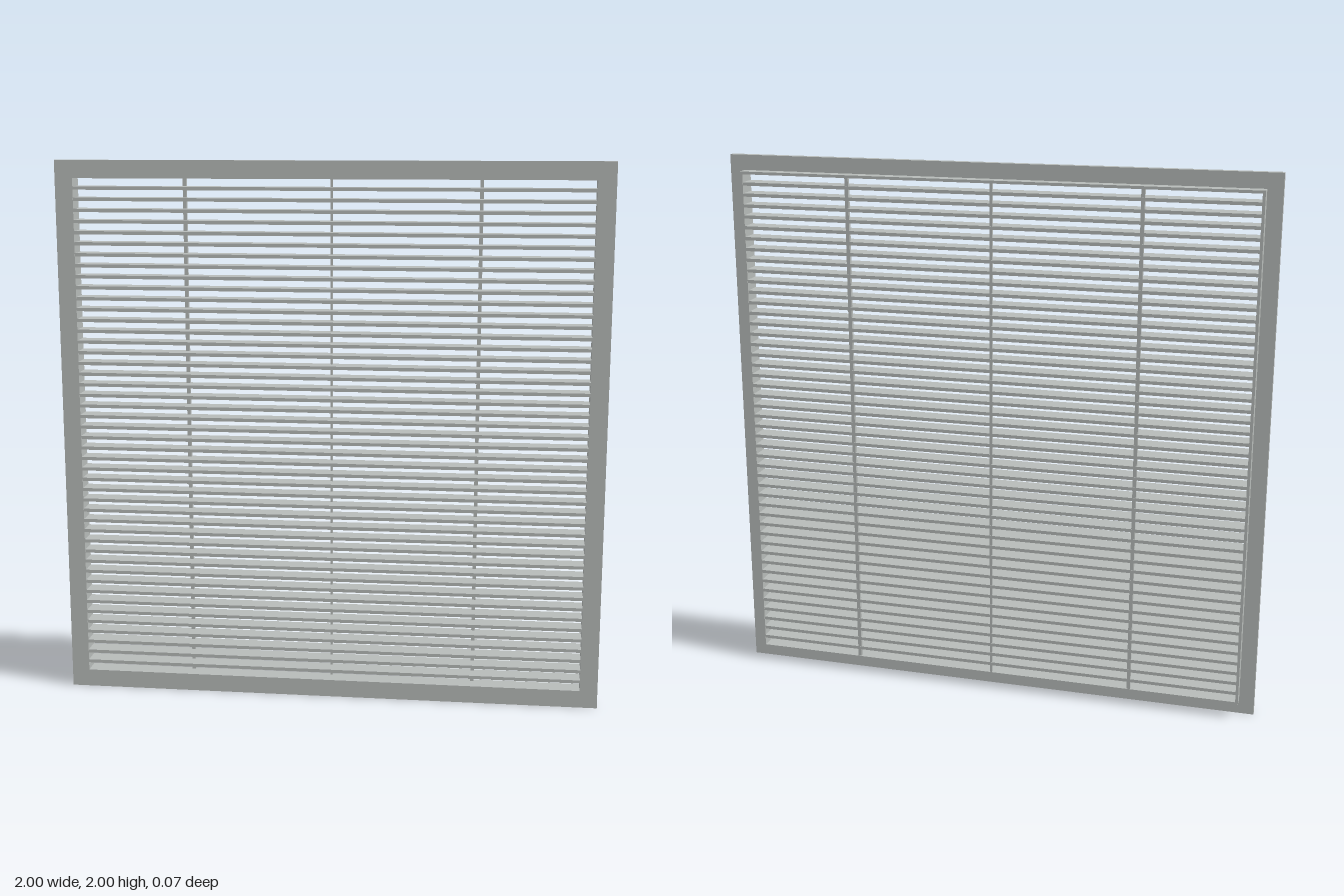
import * as THREE from 'three';

const FRONT = 0.036, BACK = -0.036, FLANGE_BACK = 0.01;
const OPENING = 0.935, COLLAR = 0.945, CENTER_Y = 1;
const SLATS = 46, PITCH = 0.04, SLAT_THICKNESS = 0.012;

export function createModel() {
  const model = new THREE.Group();
  model.name = 'ventGrille';
  const metal = new THREE.MeshStandardMaterial({ color: 0xb6bab8 });
  metal.name = 'grey metal';

  const add = (name, geometry, x, y, z, parent = model) => {
    const mesh = new THREE.Mesh(geometry, metal);
    mesh.name = name;
    mesh.position.set(x, y, z);
    parent.add(mesh);
  };

  // Square ring with a square opening, extruded along z
  const ring = (outer, inner, depth) => {
    const square = (Type, h) => new Type([[-h, -h], [h, -h], [h, h], [-h, h]].map(p => new THREE.Vector2(...p)));
    const shape = square(THREE.Shape, outer);
    shape.holes.push(square(THREE.Path, inner));
    return new THREE.ExtrudeGeometry(shape, { depth, bevelEnabled: false });
  };

  // Wide front flange and the narrow collar behind it
  add('frontFlange', ring(1, OPENING, FRONT - FLANGE_BACK), 0, CENTER_Y, FLANGE_BACK);
  add('rearCollar', ring(COLLAR, OPENING, FLANGE_BACK - BACK), 0, CENTER_Y, BACK);

  // Horizontal slats across the opening
  const slats = new THREE.Group();
  slats.name = 'slats';
  model.add(slats);
  const slatGeometry = new THREE.BoxGeometry(OPENING * 2, SLAT_THICKNESS, FRONT - BACK - 0.002);
  for (let i = 0; i < SLATS; i++) {
    add('slat', slatGeometry, 0, CENTER_Y + (i - (SLATS - 1) / 2) * PITCH, 0, slats);
  }

  // Upright support bars threaded through the back of the slats
  for (const [x, width] of [[-0.535, 0.013], [0, 0.009], [0.535, 0.013]]) {
    add('supportBar', new THREE.BoxGeometry(width, OPENING * 2, 0.014), x, CENTER_Y, BACK + 0.009);
  }
  return model;
}
